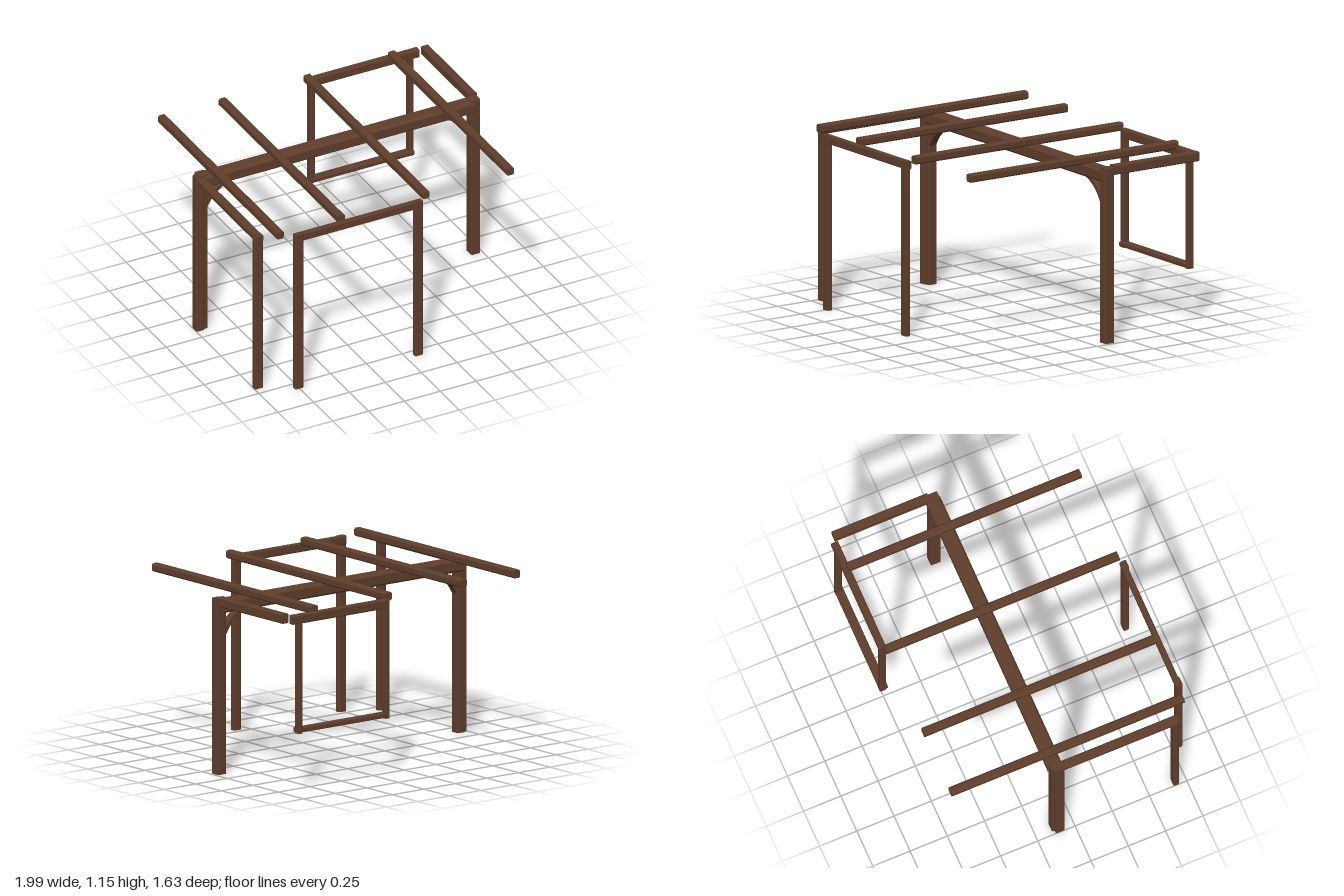
import * as THREE from 'three';

const wood = new THREE.MeshStandardMaterial({ color: 0x5f3e2b });
wood.name = 'darkTimber';
wood.flatShading = true;

// Timber with chamfered long edges, filling the given min/max ranges
function timber(name, axis, [x0, x1], [y0, y1], [z0, z1], chamfer = 0.006) {
  const size = { x: x1 - x0, y: y1 - y0, z: z1 - z0 };
  const [u, v] = { x: ['z', 'y'], y: ['x', 'z'], z: ['x', 'y'] }[axis];
  const a = size[u] / 2, b = size[v] / 2, c = chamfer, length = size[axis];
  const section = new THREE.Shape([
    [a - c, -b], [a, -b + c], [a, b - c], [a - c, b],
    [c - a, b], [-a, b - c], [-a, c - b], [c - a, -b],
  ].map(([px, py]) => new THREE.Vector2(px, py)));
  const geo = new THREE.ExtrudeGeometry(section, { depth: length, bevelEnabled: false });
  geo.translate(0, 0, -length / 2);
  if (axis === 'x') geo.rotateY(Math.PI / 2);
  if (axis === 'y') geo.rotateX(-Math.PI / 2);
  const mesh = new THREE.Mesh(geo, wood);
  mesh.name = name;
  mesh.position.set((x0 + x1) / 2, (y0 + y1) / 2, (z0 + z1) / 2);
  return mesh;
}

// Curved knee brace, bowed toward the corner of post and beam
function brace(name, side) {
  const shape = new THREE.Shape();
  shape.moveTo(-0.93, 0.9);
  shape.quadraticCurveTo(-0.875, 1.01, -0.765, 1.03);
  shape.lineTo(-0.75, 1.02);
  shape.quadraticCurveTo(-0.86, 0.985, -0.91, 0.885);
  shape.lineTo(-0.93, 0.875);
  shape.closePath();
  const geo = new THREE.ExtrudeGeometry(shape, { depth: 0.05, bevelEnabled: false, curveSegments: 8 });
  if (side > 0) geo.translate(0, 0, -0.05).rotateY(Math.PI);
  const mesh = new THREE.Mesh(geo, wood);
  mesh.name = name;
  mesh.position.z = -0.135;
  return mesh;
}

function group(name, ...parts) {
  const g = new THREE.Group();
  g.name = name;
  g.add(...parts);
  return g;
}

export function createModel() {
  const model = group('timberFrame',
    // Main span: two heavy posts, ridge beam and braces
    group('mainFrame',
      timber('mainBeam', 'x', [-0.95, 0.95], [1.02, 1.1], [-0.162, -0.068], 0.012),
      timber('mainPostRight', 'y', [-0.98, -0.915], [0, 1.11], [-0.145, -0.08]),
      timber('mainPostLeft', 'y', [0.92, 0.985], [0, 1.11], [-0.143, -0.075]),
      brace('braceRight', -1),
      brace('braceLeft', 1)),
    // Side frame reaching forward at the right
    group('rightFrame',
      timber('rightBeam', 'z', [-0.995, -0.94], [1.06, 1.1], [-0.13, 0.7]),
      timber('rightFrontPost', 'y', [-1, -0.942], [0, 1.085], [0.662, 0.7]),
      timber('rightBackPost', 'y', [-1, -0.945], [0, 1.105], [-0.128, -0.07])),
    // Side beam reaching backward at the left
    timber('leftBeam', 'z', [0.94, 0.993], [1.065, 1.125], [-0.778, -0.138]),
    // Front frame
    group('frontFrame',
      timber('frontBeam', 'x', [-0.775, 0.11], [1.055, 1.11], [0.775, 0.81]),
      timber('frontPostRight', 'y', [-0.78, -0.722], [0, 1.11], [0.78, 0.817]),
      timber('frontPostLeft', 'y', [0.055, 0.112], [0, 1.11], [0.78, 0.817])),
    // Hanging frame at the back
    group('backFrame',
      timber('backBeam', 'x', [0.165, 0.925], [1.055, 1.112], [-0.81, -0.765]),
      timber('hangerRight', 'y', [0.162, 0.196], [0.36, 1.07], [-0.81, -0.767], 0.004),
      timber('hangerLeft', 'y', [0.852, 0.886], [0.36, 1.07], [-0.81, -0.767], 0.004),
      timber('bottomRail', 'x', [0.165, 0.884], [0.367, 0.396], [-0.81, -0.755], 0.004)));
  // Rafters laid across the main beam
  [-0.867, -0.443, 0.149, 0.738].forEach((x, i) =>
    model.add(timber(`rafter${i + 1}`, 'z', [x - 0.026, x + 0.026], [1.097, 1.148], [-0.782, 0.782], 0.009)));
  return model;
}
